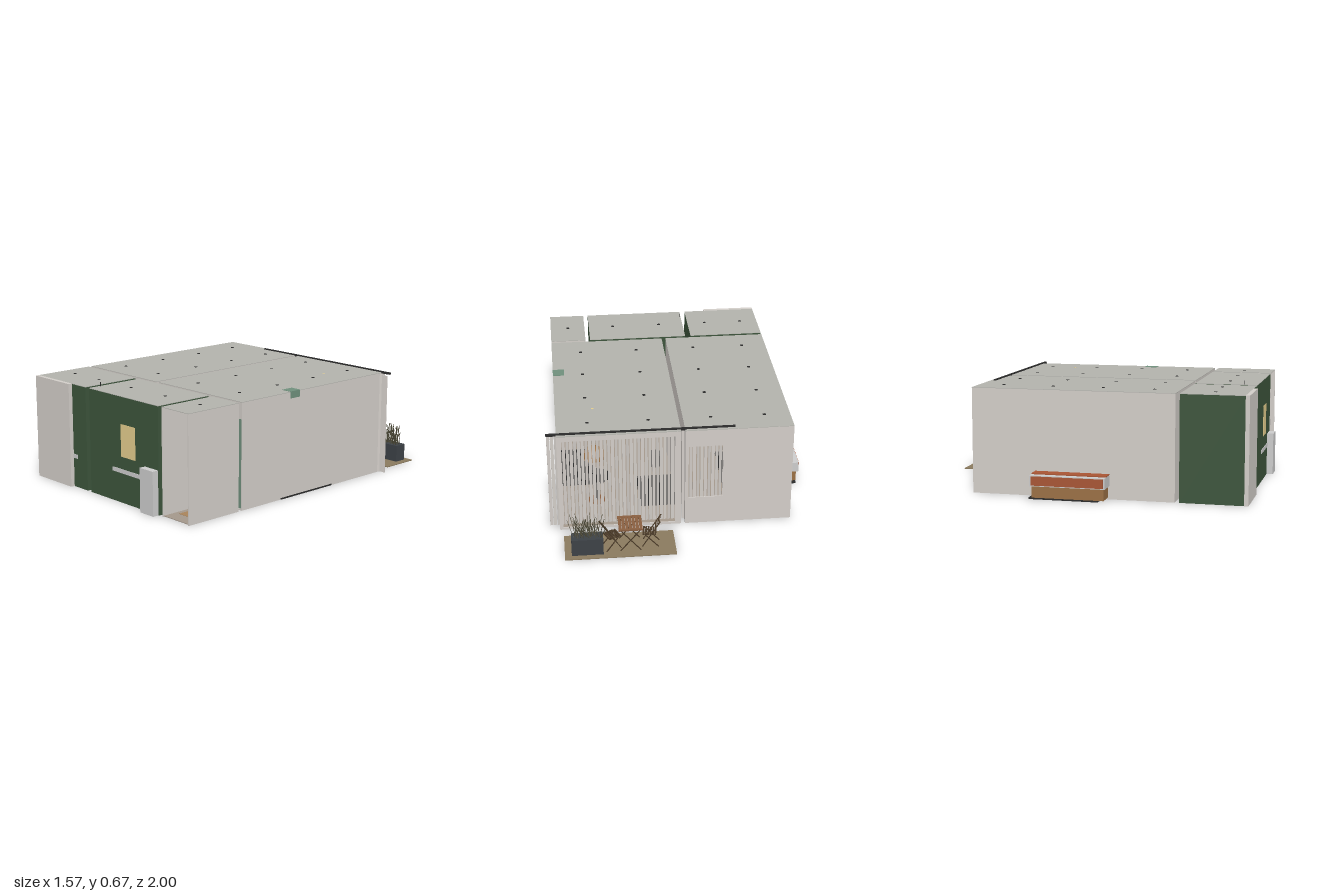
import * as THREE from 'three';

const mat = (color) => new THREE.MeshStandardMaterial({ color });
const M = {
  wall: mat(0xd2cdc8), roof: mat(0xb2b2ac), green: mat(0x3c543b), grey: mat(0xcccccc),
  floor: mat(0xa3978b), dark: mat(0x2b2b2b), planter: mat(0x3c4146), rug: mat(0x8a7a5e),
  wood: mat(0x8a5f40), chair: mat(0x4a3a28), orange: mat(0xa85534), oak: mat(0x9a7044),
  yellow: mat(0xe4cd8c), glass: mat(0x6f8f7c), leaf: mat(0x4d4a38), mat: mat(0xa8835a),
};
const H = 0.64, T = 0.006;

function add(parent, name, geo, material, x = 0, y = 0, z = 0) {
  const m = new THREE.Mesh(geo, material);
  m.name = name;
  m.position.set(x, y, z);
  parent.add(m);
  return m;
}
// box given by its extents on each axis
function box(parent, name, material, x0, x1, y0, y1, z0, z1) {
  return add(parent, name, new THREE.BoxGeometry(x1 - x0, y1 - y0, z1 - z0), material,
    (x0 + x1) / 2, (y0 + y1) / 2, (z0 + z1) / 2);
}
// thin box between two points
function bar(parent, name, material, a, b, w = 0.005) {
  const p = new THREE.Vector3(...a), q = new THREE.Vector3(...b);
  const m = add(parent, name, new THREE.BoxGeometry(w, p.distanceTo(q), w), material);
  m.position.copy(p).add(q).multiplyScalar(0.5);
  m.quaternion.setFromUnitVectors(new THREE.Vector3(0, 1, 0), q.sub(p).normalize());
  return m;
}
// wall facing z, with an optional rectangular opening [x0, x1, y0, y1]
function wallZ(parent, name, material, x0, x1, z, hole) {
  const rect = (P, a, b, c, d) => {
    const s = new P();
    s.moveTo(a, c); s.lineTo(b, c); s.lineTo(b, d); s.lineTo(a, d); s.closePath();
    return s;
  };
  const s = rect(THREE.Shape, x0, x1, 0, H - 0.003);
  if (hole) s.holes.push(rect(THREE.Path, ...hole));
  add(parent, name, new THREE.ExtrudeGeometry(s, { depth: T, bevelEnabled: false }), material, 0, 0, z);
}
// one room: floor, roof, side walls, front and back walls, ceiling spots
function room(parent, r) {
  const g = new THREE.Group();
  g.name = r.name;
  parent.add(g);
  const { x: [x0, x1], z: [z0, z1], wall } = r;
  box(g, 'floor', M.floor, x0 + T, x1 - T, 0.003, 0.007, z0 + T, z1 - T);
  box(g, 'roof', M.roof, x0, x1, H - 0.003, H, z0, z1);
  box(g, 'sideWallRight', wall, x0, x0 + T, 0, H - 0.003, z0, z1);
  box(g, 'sideWallLeft', wall, x1 - T, x1, 0, H - 0.003, z0, z1);
  wallZ(g, 'backWall', wall, x0 + T, x1 - T, z0, r.backHole);
  if (!r.openFront) wallZ(g, 'frontWall', wall, x0 + T, x1 - T, z1 - T, r.frontHole);
  for (const x of r.spotX) for (const z of r.spotZ)
    add(g, 'ceilingSpot', new THREE.CylinderGeometry(0.01, 0.01, 0.006, 16), M.dark, x, H - 0.001, z);
}

function foldingChair(parent, x, z, angle) {
  const g = new THREE.Group();
  g.name = 'foldingChair';
  for (const s of [-0.04, 0.04]) {
    bar(g, 'backLeg', M.chair, [0.05, 0.005, s], [-0.055, 0.18, s]);
    bar(g, 'frontLeg', M.chair, [-0.045, 0.005, s * 0.85], [0.04, 0.09, s * 0.85]);
  }
  for (let i = 0; i < 6; i++)
    box(g, 'seatSlat', M.chair, -0.03 + i * 0.014, -0.02 + i * 0.014, 0.088, 0.093, -0.042, 0.042);
  for (let i = 0; i < 4; i++) {
    const y = 0.13 + i * 0.014, bx = 0.053 - y * 0.6;
    box(g, 'backSlat', M.chair, bx - 0.002, bx + 0.002, y, y + 0.009, -0.042, 0.042);
  }
  g.position.set(x, 0, z);
  g.rotation.y = angle;
  parent.add(g);
}

function patio(parent) {
  const g = new THREE.Group();
  g.name = 'patio';
  parent.add(g);
  box(g, 'patioRug', M.rug, 0.055, 0.705, 0, 0.005, -1, -0.755);
  // slatted table
  for (let i = 0; i < 7; i++)
    box(g, 'tableSlat', M.wood, 0.25 + i * 0.0202, 0.267 + i * 0.0202, 0.148, 0.155, -0.935, -0.815);
  for (const z of [-0.95, -0.815]) box(g, 'tableRim', M.wood, 0.25, 0.39, 0.146, 0.156, z, z + 0.015);
  for (const z of [-0.94, -0.81]) {
    bar(g, 'tableLeg', M.chair, [0.26, 0.005, z], [0.38, 0.147, z]);
    bar(g, 'tableLeg', M.chair, [0.38, 0.005, z], [0.26, 0.147, z]);
  }
  foldingChair(g, 0.195, -0.875, -0.14);
  foldingChair(g, 0.435, -0.895, Math.PI + 0.42);
  // planter with grass
  box(g, 'planter', M.planter, 0.48, 0.665, 0.002, 0.11, -0.965, -0.885);
  let seed = 7;
  const rnd = () => (seed = (seed * 16807) % 2147483647) / 2147483647;
  for (let i = 0; i < 60; i++) {
    const x = 0.495 + rnd() * 0.155, z = -0.95 + rnd() * 0.05, h = 0.06 + rnd() * 0.07;
    bar(g, 'grassBlade', M.leaf, [x, 0.105, z],
      [x + (rnd() - 0.5) * 0.08, 0.11 + h, z + (rnd() - 0.5) * 0.075], 0.0026);
  }
}

export function createModel() {
  const g = new THREE.Group();
  g.name = 'apartment';
  const bigZ = [-0.53, -0.22, 0.09, 0.4];
  const door = [0.52, 0.719, 0.008, 0.54];
  room(g, { name: 'bedroom', x: [-0.665, -0.025], z: [-0.68, 0.555], wall: M.wall,
    spotX: [-0.51, -0.19], spotZ: bigZ, backHole: [-0.25, -0.045, 0.18, 0.53] });
  room(g, { name: 'livingRoom', x: [0, 0.725], z: [-0.68, 0.555], wall: M.wall,
    spotX: [0.18, 0.54], spotZ: bigZ, backHole: [0.035, 0.705, 0.015, 0.605], frontHole: door });
  room(g, { name: 'smallGreenRoom', x: [-0.665, -0.195], z: [0.58, 0.96], wall: M.green,
    spotX: [-0.55, -0.31], spotZ: [0.77] });
  room(g, { name: 'largeGreenRoom', x: [-0.16, 0.47], z: [0.58, 0.96], wall: M.green,
    spotX: [0, 0.31], spotZ: [0.77] });
  room(g, { name: 'entrance', x: [0.5, 0.725], z: [0.58, 0.96], wall: M.wall,
    spotX: [0.61], spotZ: [0.77], backHole: door, openFront: true });

  // front fittings
  box(g, 'frontPanel', M.wall, -0.665, -0.328, 0, H, 0.96, 0.985);
  box(g, 'frontCabinet', M.grey, 0.35, 0.465, 0, 0.265, 0.96, 1);
  box(g, 'wallStrip', M.grey, 0.055, 0.345, 0.18, 0.205, 0.955, 0.963);
  box(g, 'wallStrip', M.grey, -0.328, -0.288, 0.18, 0.205, 0.955, 0.963);
  box(g, 'yellowPanel', M.yellow, 0.135, 0.265, 0.28, 0.475, 0.955, 0.962);
  box(g, 'roofPin', M.dark, -0.153, -0.149, H, 0.665, 0.878, 0.882);
  box(g, 'glassDoor', M.glass, 0.58, 0.719, 0.008, 0.54, 0.545, 0.549);
  box(g, 'roofGlass', M.glass, 0.655, 0.725, 0.6, 0.642, 0.085, 0.165);
  box(g, 'entranceMat', M.mat, 0.54, 0.69, 0.001, 0.009, 0.66, 0.87);

  // vertical blinds behind the back wall, running past the left corner
  box(g, 'blindRail', M.dark, -0.32, 0.785, 0.634, 0.646, -0.662, -0.646);
  for (let i = 0; i < 50; i++) {
    const x = -0.305 + i * 0.022;
    const s = add(g, 'blindSlat', new THREE.BoxGeometry(0.019, 0.622, 0.002), M.wall, x, 0.317, -0.632);
    s.rotation.y = 0.35 + 0.3 * Math.sin(i * 2.3);
  }

  // bench projecting from the right wall
  box(g, 'benchBase', M.oak, -0.772, -0.66, 0.01, 0.08, -0.28, 0.155);
  box(g, 'benchEnds', M.grey, -0.785, -0.66, 0.08, 0.145, -0.29, 0.165);
  box(g, 'benchFront', M.orange, -0.788, -0.783, 0.085, 0.14, -0.28, 0.155);
  box(g, 'benchCushion', M.orange, -0.745, -0.66, 0.14, 0.151, -0.289, 0.164);

  // rugs
  box(g, 'rug', M.dark, -0.77, -0.305, 0, 0.01, -0.3, 0.12);
  box(g, 'rug', M.dark, -0.02, 0.23, 0, 0.009, -0.48, -0.13);
  box(g, 'rug', M.dark, 0.5, 0.728, 0, 0.009, -0.2, 0.24);

  // round table with a pendant lamp, and two small round bases
  const disc = (name, m, r, y, h, x, z) =>
    add(g, name, new THREE.CylinderGeometry(r, r, h, 24), m, x, y, z);
  disc('tableBase', M.wood, 0.055, 0.006, 0.012, 0.49, -0.38);
  disc('tableStem', M.dark, 0.006, 0.09, 0.17, 0.49, -0.38);
  disc('tableTop', M.dark, 0.085, 0.18, 0.008, 0.49, -0.38);
  disc('stool', M.wood, 0.035, 0.05, 0.1, -0.12, -0.59);
  disc('sideTable', M.dark, 0.035, 0.05, 0.1, 0.094, 0);
  const shade = add(g, 'lampShade',
    new THREE.SphereGeometry(0.072, 24, 10, 0, Math.PI * 2, 0, Math.PI / 2), M.oak.clone(), 0.5, 0.305, -0.36);
  shade.material.side = THREE.DoubleSide;
  disc('lampCord', M.dark, 0.002, 0.507, 0.262, 0.5, -0.36);
  disc('lampRose', M.yellow, 0.008, 0.639, 0.004, 0.5, -0.36);

  patio(g);
  return g;
}
